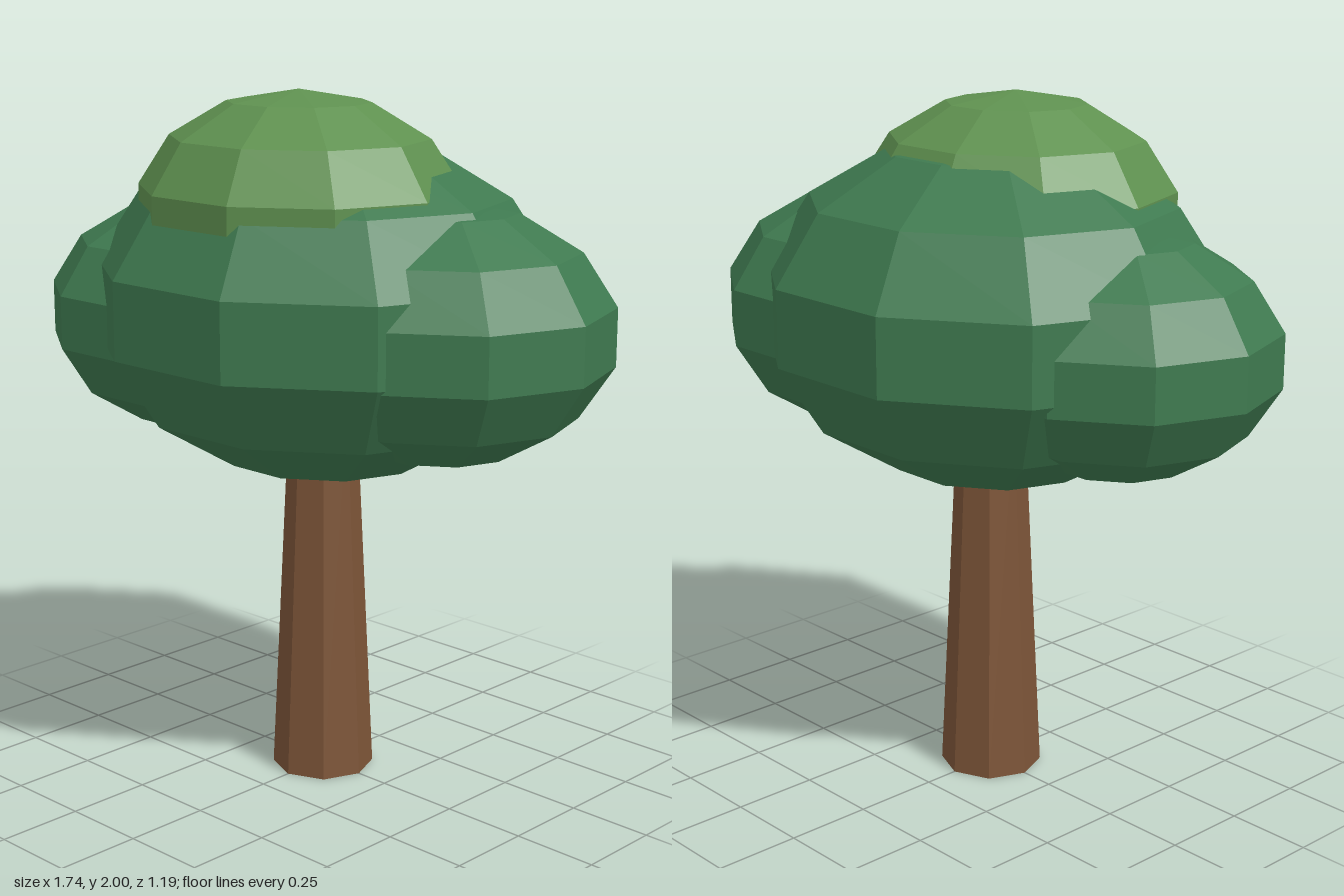
import * as THREE from 'three';

const paint = (color) => new THREE.MeshStandardMaterial({ color, flatShading: true });

export function createModel() {
  const tree = new THREE.Group();
  tree.name = 'tree';
  const bark = paint(0x7d5538);
  const leaf = paint(0x3f7a50);
  const lightLeaf = paint(0x5f9150);

  // Tapered eight-sided trunk, its top hidden inside the crown
  const trunkHeight = 1.1;
  const trunk = new THREE.Mesh(new THREE.CylinderGeometry(0.097, 0.148, trunkHeight, 8), bark);
  trunk.name = 'trunk';
  trunk.position.y = trunkHeight / 2;
  tree.add(trunk);

  // Faceted foliage clumps: one low-poly ball, stretched and placed
  const ball = new THREE.SphereGeometry(1, 10, 7);
  const addClump = (name, material, radii, position) => {
    const geometry = ball.clone().scale(...radii);
    const clump = new THREE.Mesh(geometry, material);
    clump.name = name;
    clump.position.set(...position);
    tree.add(clump);
  };
  addClump('mainFoliage', leaf, [0.697, 0.495, 0.642], [0, 1.395, 0]);
  addClump('rightFoliage', leaf, [0.467, 0.344, 0.442], [-0.415, 1.33, 0.09]);
  addClump('leftFoliage', leaf, [0.512, 0.366, 0.472], [0.371, 1.355, -0.07]);
  addClump('topFoliage', lightLeaf, [0.483, 0.345, 0.444], [0, 1.655, 0.095]);

  return tree;
}
